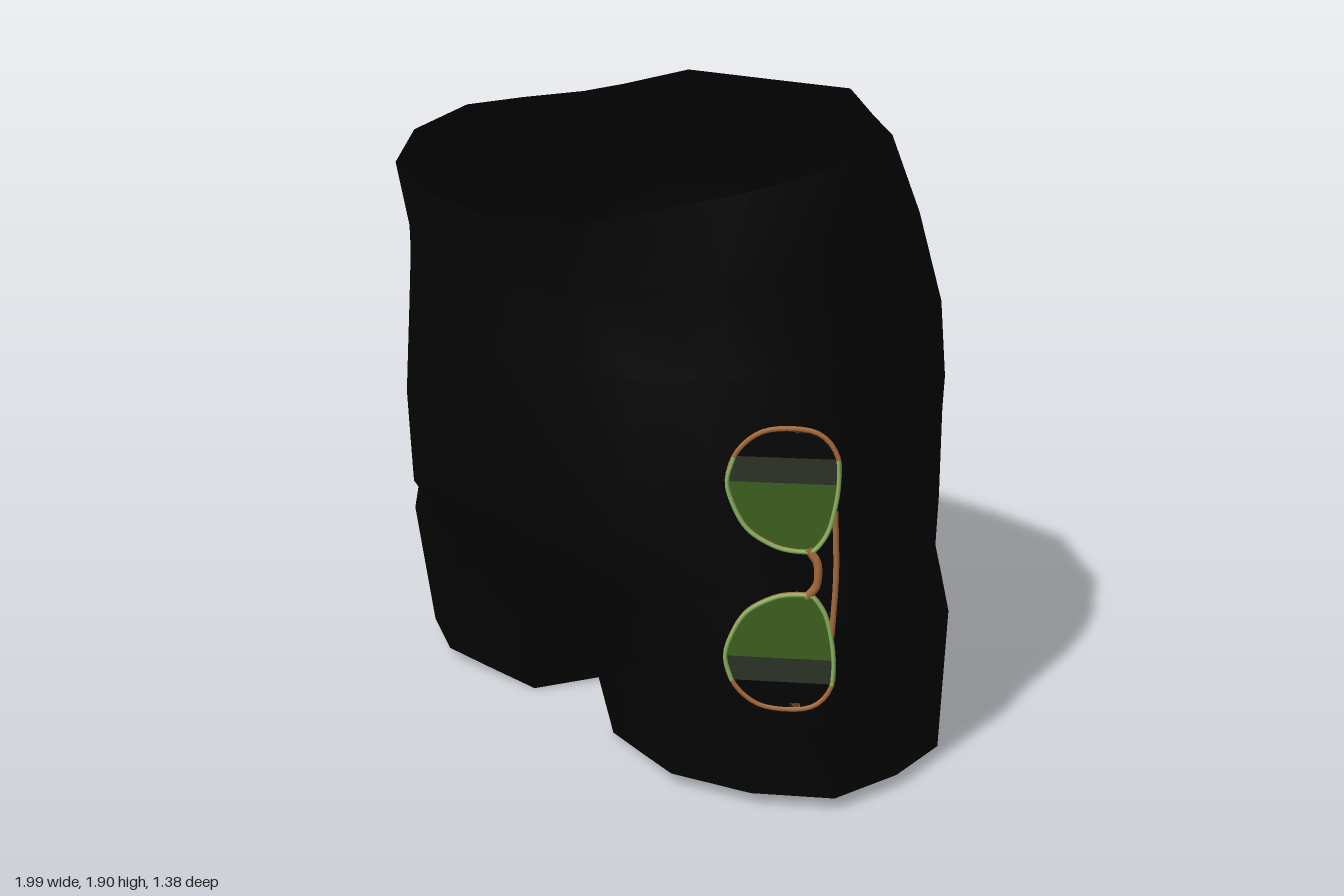
import * as THREE from 'three';
import { mergeVertices } from 'three/addons/utils/BufferGeometryUtils.js';

const mat = (name, color, side = THREE.DoubleSide) => {
  const m = new THREE.MeshStandardMaterial({ color, side });
  m.name = name;
  return m;
};

function geometry(positions, index) {
  let g = new THREE.BufferGeometry();
  g.setAttribute('position', new THREE.Float32BufferAttribute(positions, 3));
  g.setIndex(index);
  g = mergeVertices(g, 1e-4);
  g.computeVertexNormals();
  return g;
}

// waist rim, front centre round the side to back centre
const RIM = [[0, 1.6, 0.66], [0.35, 1.625, 0.64], [0.57, 1.68, 0.6], [0.77, 1.74, 0.4], [0.85, 1.79, 0.14],
  [0.79, 1.805, -0.05], [0.69, 1.82, -0.22], [0.56, 1.85, -0.29], [0.36, 1.905, -0.4], [0, 1.9, -0.43]];
// half outline of the body in the same order
const HALF = [[0, 1], [0.33, 0.96], [0.58, 0.87], [0.82, 0.61], [0.957, 0.34],
  [1, 0], [0.942, -0.37], [0.775, -0.66], [0.44, -0.99], [0, -1]];
// body rows: half width, y at front / side / back, z at front / back, forward shift of the sides
const BODY = [
  [0.89, 1.45, 1.6, 1.58, 0.65, 0.615, 0.1],
  [0.93, 1.22, 1.3, 1.33, 0.67, 0.685, 0.045],
  [0.96, 0.95, 1.05, 1.12, 0.69, 0.67, 0.02],
  [0.98, 0.78, 0.82, 0.83, 0.68, 0.57, 0],
  [0.99, 0.65, 0.68, 0.68, 0.67, 0.525, 0]];
const CROTCH = [0.995, 0.59, 0.59, 0.59, 0.61, 0.49, 0];
// crotch seam, back to front
const SEAM = [[0, 0.55, -0.22], [0, 0.51, 0.02], [0, 0.53, 0.3]];
// leg opening: same ten outer columns, then three inner ones
const HEM = [[0.2, 0.4], [0.38, 0.44], [0.56, 0.48], [0.79, 0.385], [0.965, 0.23],
  [0.99, 0], [0.955, -0.22], [0.76, -0.38], [0.52, -0.43], [0.29, -0.4],
  [0.09, -0.2], [0.04, 0.02], [0.12, 0.22]];

const hemY = (x, z) => 0.042 * Math.min(1, Math.max(0.05, (x - 0.2) / 0.36, (0.4 - z) / 0.8));

function bodyRow([w, yf, ys, yb, zf, zb, shift]) {
  return HALF.map(([u, v]) => [w * u, ys + (v > 0 ? (yf - ys) * v : (ys - yb) * v),
    v * (v > 0 ? zf : zb) + shift * (1 - v * v)]);
}

// leg row: t = 1 at the top of the leg, 0 at the hem
function legRow(t) {
  return HEM.map(([x, z]) => {
    const pinch = x < 0.35 ? 0.038 + (x - 0.04) * 0.4 : x;
    return [x + (pinch - x) * t, hemY(x, z) + (0.47 - hemY(x, z)) * t, z * (1 + t * (z > 0 ? 0.16 : 0.09))];
  });
}

// body outline eased halfway towards the leg, with a raised centre back
function crotchRow() {
  const leg = legRow(1), row = bodyRow(CROTCH).map(([x, y, z], k) =>
    x === 0 ? [x, y, z] : [(x + leg[k][0]) / 2, y, (z + leg[k][2]) / 2]);
  row[9] = [0, 0.64, -0.43];
  return row;
}

function shortsGeometry() {
  const pos = [], idx = [];
  for (const s of [1, -1]) {
    const strip = (rows, closed) => {
      const n = rows[0].length, base = pos.length / 3;
      rows.flat().forEach(([x, y, z]) => pos.push(s * x, y, z));
      for (let r = 0; r < rows.length - 1; r++) {
        for (let k = 0; k < (closed ? n : n - 1); k++) {
          const a = base + r * n + k, b = base + r * n + (k + 1) % n, c = b + n, d = a + n;
          if (s > 0) idx.push(a, d, c, a, c, b);
          else idx.push(a, c, d, a, b, c);
        }
      }
    };
    const crotch = crotchRow();
    strip([RIM, ...BODY.map(bodyRow), crotch], false);
    strip([[...crotch, ...SEAM], legRow(1), legRow(0.5), legRow(0)], true);
  }
  return geometry(pos, idx);
}

// flat turned-in edge of a leg opening
function hemGeometry(s) {
  const pos = [], idx = [], n = HEM.length;
  legRow(0).forEach(([x, y, z], k) => {
    const dx = 0.53 - x, dz = 0.02 - z, l = Math.hypot(dx, dz);
    pos.push(s * x, y, z, s * (x + dx / l * 0.032), y + 0.003, z + dz / l * 0.032);
    const a = 2 * k, b = 2 * ((k + 1) % n);
    if (s > 0) idx.push(a, a + 1, b + 1, a, b + 1, b);
    else idx.push(a, b + 1, a + 1, a, b, b + 1);
  });
  return geometry(pos, idx);
}

// lens rows: distance from the bridge, lower edge, brow edge
const LENS = [[0.065, 0.16, 0.23], [0.08, 0.115, 0.245], [0.12, 0.055, 0.268], [0.19, 0.015, 0.285],
  [0.25, 0, 0.292], [0.32, 0.018, 0.29], [0.37, 0.06, 0.262], [0.395, 0.11, 0.22]];

function lensBand(from, to, s) {
  const pos = [], idx = [];
  LENS.slice(from, to + 1).forEach(([d, a, b], i) => {
    pos.push(a, s * d, 0, b, s * d, 0);
    const k = 2 * i;
    if (i < to - from) {
      if (s > 0) idx.push(k, k + 1, k + 3, k, k + 3, k + 2);
      else idx.push(k, k + 3, k + 1, k, k + 2, k + 3);
    }
  });
  return geometry(pos, idx);
}

// lens outline from its outer lower edge, past the bridge, to its outer brow edge
function lensEdge(rows, s) {
  return [...rows.map(([d, a]) => [a, s * d, 0]).reverse(), ...rows.map(([d, , b]) => [b, s * d, 0])];
}

function tube(points, radius, closed = false) {
  const curve = new THREE.CatmullRomCurve3(points.map(p => new THREE.Vector3(...p)), closed);
  return new THREE.TubeGeometry(curve, 48, radius, 6, closed);
}

export function createModel() {
  const model = new THREE.Group();
  model.name = 'shortsWithSunglasses';
  const cloth = mat('black cloth', 0x040404);
  const trim = mat('green trim', 0x8ab863);
  const green = mat('green lens', 0x3e621f);
  const smoke = mat('smoky lens', 0x2d3427);
  const copper = mat('copper frame', 0xa86c3c, THREE.FrontSide);
  const add = (parent, name, geo, material) => {
    const m = new THREE.Mesh(geo, material);
    m.name = name;
    parent.add(m);
    return m;
  };

  add(model, 'shorts', shortsGeometry(), cloth);
  add(model, 'leftHem', hemGeometry(1), trim);
  add(model, 'rightHem', hemGeometry(-1), trim);

  // sunglasses lying upright against the left thigh
  const glasses = new THREE.Group();
  glasses.name = 'sunglasses';
  glasses.position.set(0.772, 0.735, 0.472);
  glasses.rotation.y = 0.735;
  model.add(glasses);
  for (const s of [1, -1]) {
    const side = s > 0 ? 'upper' : 'lower';
    add(glasses, side + 'LensGreen', lensBand(0, 4, s), green);
    add(glasses, side + 'LensSmoke', lensBand(4, 5, s), smoke);
    add(glasses, side + 'LensDark', lensBand(5, 7, s), cloth);
    add(glasses, side + 'Rim', tube(lensEdge(LENS, s), 0.007, true), copper);
    // green inlay on the inner part of the rim
    add(glasses, side + 'RimInlay', tube(lensEdge(LENS.slice(0, 6), s), 0.006), trim).position.z = 0.005;
    const hinge = add(glasses, side + 'Hinge', new THREE.BoxGeometry(0.03, 0.014, 0.03), copper);
    hinge.position.set(0.19, s * 0.388, -0.015);
  }
  add(glasses, 'browBar', tube([[0.285, -0.18, 0], [0.292, 0, 0.002], [0.285, 0.18, 0]], 0.009), copper);
  add(glasses, 'noseBridge', tube([[0.215, -0.07, 0], [0.24, -0.035, 0.004], [0.245, 0, 0.006],
    [0.24, 0.035, 0.004], [0.215, 0.07, 0]], 0.012), copper);
  return model;
}
